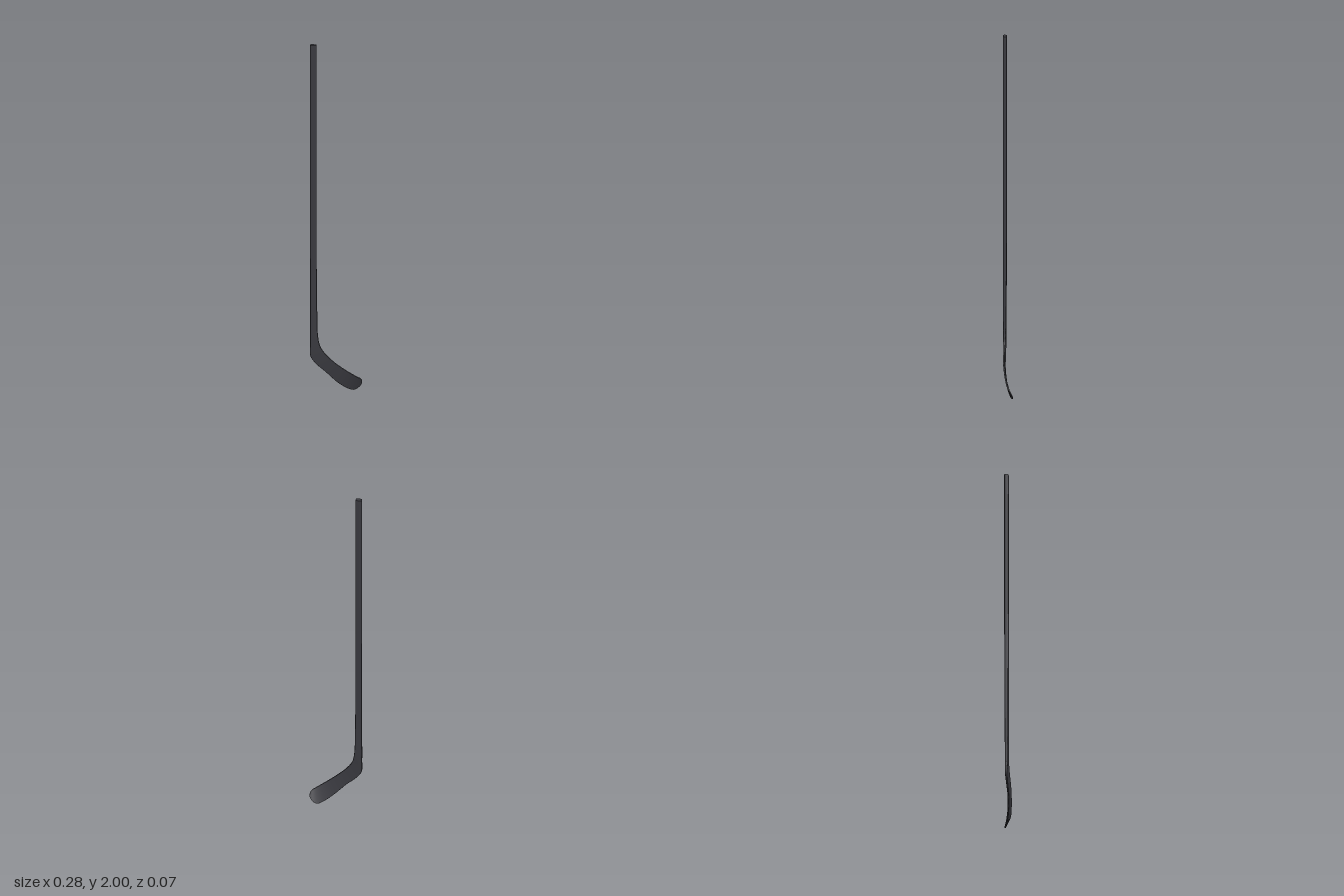
import * as THREE from 'three';

// Stations from butt to toe: inner/top edge xyz, outer/bottom edge xyz, thickness
const STATIONS = [
  [-0.107, 2.0, 0.025, -0.142, 2.0, 0.025, 0.022],
  [-0.107, 1.2, 0.025, -0.142, 1.2, 0.025, 0.022],
  [-0.106, 0.7, 0.025, -0.142, 0.7, 0.025, 0.019],
  [-0.103, 0.45, 0.026, -0.142, 0.42, 0.026, 0.017],
  [-0.099, 0.325, 0.026, -0.142, 0.28, 0.026, 0.015],
  [-0.087, 0.267, 0.027, -0.140, 0.21, 0.025, 0.012],
  [-0.060, 0.225, 0.027, -0.114, 0.17, 0.024, 0.010],
  [-0.013, 0.177, 0.024, -0.055, 0.115, 0.019, 0.008],
  [0.045, 0.130, 0.014, 0.008, 0.052, 0.004, 0.008],
  [0.080, 0.105, 0.006, 0.060, 0.013, -0.016, 0.008],
  [0.109, 0.085, -0.002, 0.095, 0.000, -0.031, 0.008],
  [0.130, 0.071, -0.011, 0.123, 0.017, -0.035, 0.007],
  [0.138, 0.058, -0.019, 0.137, 0.038, -0.029, 0.005],
];
const LAST = STATIONS.length - 1;
const edge = (k) => new THREE.CatmullRomCurve3(STATIONS.map((s) => new THREE.Vector3(s[k], s[k + 1], s[k + 2])));
const topEdge = edge(0);
const bottomEdge = edge(3);

const CORNER = 4; // points per rounded corner
const RING = CORNER * 4;

function centreAt(s) {
  const t = THREE.MathUtils.clamp(s / LAST, 0, 1);
  return topEdge.getPoint(t).add(bottomEdge.getPoint(t)).multiplyScalar(0.5);
}

// Rounded-rectangle cross-section at station position s
function section(s) {
  const top = topEdge.getPoint(s / LAST);
  const bottom = bottomEdge.getPoint(s / LAST);
  const centre = centreAt(s);
  const i = Math.min(Math.floor(s), LAST - 1);
  const thick = THREE.MathUtils.lerp(STATIONS[i][6], STATIONS[i + 1][6], s - i);
  const u = top.clone().sub(bottom);
  const halfU = u.length() / 2;
  const halfW = thick / 2;
  u.normalize();
  const along = centreAt(s + 0.05).sub(centreAt(s - 0.05));
  const w = along.cross(u).normalize();
  const r = Math.min(thick * 0.3, halfU * 0.6);
  const points = [];
  for (let q = 0; q < 4; q++) {
    const su = q === 0 || q === 3 ? 1 : -1;
    const sw = q < 2 ? 1 : -1;
    for (let k = 0; k < CORNER; k++) {
      const a = (q + k / (CORNER - 1)) * Math.PI / 2;
      points.push(centre.clone()
        .addScaledVector(u, su * (halfU - r) + r * Math.cos(a))
        .addScaledVector(w, sw * (halfW - r) + r * Math.sin(a)));
    }
  }
  return points;
}

// Skin the sections between two stations, closing the chosen end
function loft(from, to, capStart, capEnd) {
  const steps = (to - from) * 6;
  const pos = [];
  const index = [];
  for (let i = 0; i <= steps; i++) {
    section(from + (to - from) * i / steps).forEach((p) => pos.push(p.x, p.y, p.z));
  }
  for (let i = 0; i < steps; i++) {
    for (let j = 0; j < RING; j++) {
      const a = i * RING + j;
      const b = i * RING + (j + 1) % RING;
      index.push(a, b, a + RING, b, b + RING, a + RING);
    }
  }
  const cap = (s, flip) => {
    const base = pos.length / 3;
    const c = centreAt(s);
    section(s).forEach((p) => pos.push(p.x, p.y, p.z));
    pos.push(c.x, c.y, c.z);
    for (let j = 0; j < RING; j++) {
      const a = base + j;
      const b = base + (j + 1) % RING;
      index.push(base + RING, flip ? b : a, flip ? a : b);
    }
  };
  if (capStart) cap(from, true);
  if (capEnd) cap(to, false);
  const geometry = new THREE.BufferGeometry();
  geometry.setAttribute('position', new THREE.Float32BufferAttribute(pos, 3));
  geometry.setIndex(index);
  geometry.computeVertexNormals();
  return geometry;
}

export function createModel() {
  const group = new THREE.Group();
  group.name = 'hockeyStick';
  const material = new THREE.MeshStandardMaterial({ color: 0x3a3a40 });

  // Long straight handle
  const shaft = new THREE.Mesh(loft(0, 4, true, false), material);
  shaft.name = 'shaft';

  // Heel and curved, tilted blade
  const blade = new THREE.Mesh(loft(4, LAST, false, true), material);
  blade.name = 'blade';

  group.add(shaft, blade);
  return group;
}
